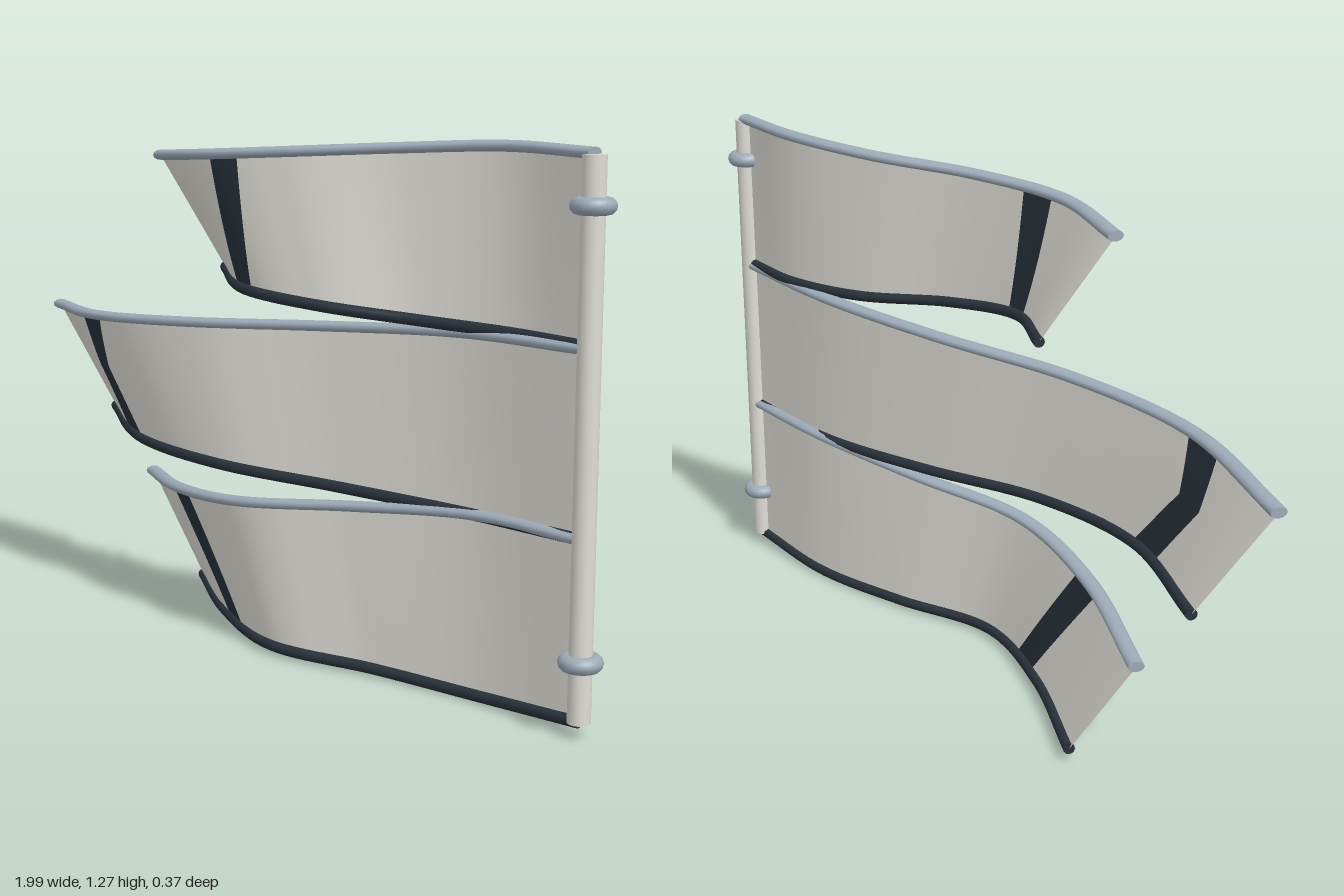
import * as THREE from 'three';

const mat = (name, color, side = THREE.FrontSide) => {
  const m = new THREE.MeshStandardMaterial({ color, side });
  m.name = name;
  return m;
};

// Surface from a grid of points; closed joins the last column to the first
function grid(point, nu, nv, closed = false) {
  const cols = closed ? nv : nv + 1, pos = [], idx = [];
  for (let i = 0; i <= nu; i++)
    for (let j = 0; j < cols; j++) pos.push(...point(i, j).toArray());
  for (let i = 0; i < nu; i++)
    for (let j = 0; j < nv; j++) {
      const k = (j + 1) % cols;
      const a = i * cols + j, b = a + cols, c = (i + 1) * cols + k, d = i * cols + k;
      idx.push(a, b, c, a, c, d);
    }
  const g = new THREE.BufferGeometry();
  g.setAttribute('position', new THREE.Float32BufferAttribute(pos, 3));
  g.setIndex(idx);
  g.computeVertexNormals();
  return g;
}

// Edge curve with x running evenly from the pole axis to the tip
const ROOT = 0.945, POLE_Z = 0.01;
function edgeCurve(tip, ys, zs) {
  return new THREE.CatmullRomCurve3(
    ys.map((y, i) => new THREE.Vector3(ROOT + (tip - ROOT) * i / (ys.length - 1), y, zs[i])),
    false, 'catmullrom', 0.5);
}

// Oval cord swept along an edge, capped at both ends
function cord(curve, halfWidth, halfHeight, n = 48) {
  return grid((i, j) => {
    const u = THREE.MathUtils.clamp((i - 2) / n, 0, 1);
    const r = i === 0 || i === n + 4 ? 0 : 1;
    const t = curve.getTangent(u);
    const side = new THREE.Vector3(-t.z, 0, t.x).normalize();
    const a = j / 12 * Math.PI * 2;
    const p = curve.getPoint(u).addScaledVector(side, r * halfWidth * Math.cos(a));
    p.y += r * halfHeight * Math.sin(a);
    return p;
  }, n + 4, 12, true);
}

// tip, heights and wave depths of each edge; stripe rows are [v, nearer x, farther x]
const ribbons = [
  { name: 'upper',
    top: [-0.40, [1.258, 1.262, 1.25, 1.235, 1.22, 1.205], [POLE_Z, -0.03, 0.02, 0.125, 0.16, 0.06]],
    bottom: [-0.23, [0.855, 0.857, 0.865, 0.885, 0.905, 0.927], [POLE_Z, -0.015, 0.025, 0.12, 0.137, -0.01]],
    stripe: [[0, 0.0, -0.09], [1, 0.04, -0.03]] },
  { name: 'middle',
    top: [-0.99, [0.85, 0.843, 0.822, 0.80, 0.778, 0.757], [POLE_Z, -0.015, 0.04, 0.125, 0.118, -0.047]],
    bottom: [-0.82, [0.44, 0.435, 0.442, 0.453, 0.464, 0.477], [POLE_Z, -0.005, 0.045, 0.117, 0.083, -0.11]],
    stripe: [[0, -0.59, -0.71], [0.45, -0.60, -0.70], [1, -0.455, -0.57]] },
  { name: 'lower',
    top: [-0.69, [0.44, 0.435, 0.405, 0.372, 0.338, 0.305], [POLE_Z, -0.005, 0.05, 0.122, 0.04, -0.138]],
    bottom: [-0.52, [0.035, 0.016, 0.018, 0.022, 0.027, 0.031], [POLE_Z, 0, 0.04, 0.103, 0, -0.175]],
    stripe: [[0, -0.31, -0.415], [1, -0.085, -0.18]] },
];

export function createModel() {
  const cloth = mat('pale cloth', 0xe3e0d9, THREE.DoubleSide);
  const dark = mat('dark stripe', 0x26313a, THREE.DoubleSide);
  const trim = mat('dark trim', 0x28313a);
  const steel = mat('blue grey steel', 0x9daab7);
  const poleMat = mat('pale pole', 0xe0ddd6);
  const root = new THREE.Group();
  root.name = 'ribbonBanner';
  const add = (parent, name, geo, material) => {
    const m = new THREE.Mesh(geo, material);
    m.name = name;
    parent.add(m);
    return m;
  };

  // Pole and its two collars
  add(root, 'pole', new THREE.CylinderGeometry(0.026, 0.026, 1.222, 20), poleMat)
    .position.set(ROOT, 0.645, POLE_Z);
  for (const y of [0.17, 1.15]) {
    const ring = add(root, 'poleCollar', new THREE.TorusGeometry(0.031, 0.019, 12, 28), steel);
    ring.rotation.x = Math.PI / 2;
    ring.position.set(ROOT, y, POLE_Z);
  }

  for (const r of ribbons) {
    const g = new THREE.Group();
    g.name = r.name + 'Ribbon';
    root.add(g);
    const top = edgeCurve(...r.top), bottom = edgeCurve(...r.bottom);

    // Stripe border as a curve parameter at height v
    const border = (v, side) => {
      let k = 0;
      while (k < r.stripe.length - 2 && v > r.stripe[k + 1][0]) k++;
      const [p, q] = [r.stripe[k], r.stripe[k + 1]];
      const x = THREE.MathUtils.mapLinear(v, p[0], q[0], p[side], q[side]);
      const tip = THREE.MathUtils.lerp(r.top[0], r.bottom[0], v);
      return (ROOT - x) / (ROOT - tip);
    };
    // Piece of cloth between two borders
    const patch = (from, to, n) => grid((i, j) => {
      const v = j / 20;
      const u = THREE.MathUtils.lerp(from(v), to(v), i / n);
      return top.getPoint(u).lerp(bottom.getPoint(u), v);
    }, n, 20);
    const near = v => border(v, 1), far = v => border(v, 2);
    add(g, 'clothBody', patch(() => 0, near, 40), cloth);
    add(g, 'clothStripe', patch(near, far, 6), dark);
    add(g, 'clothTail', patch(far, () => 1, 16), cloth);

    // Edge cords
    add(g, 'topCord', cord(top, 0.02, 0.013), steel);
    add(g, 'bottomCord', cord(bottom, 0.014, 0.014), trim);
  }
  return root;
}
